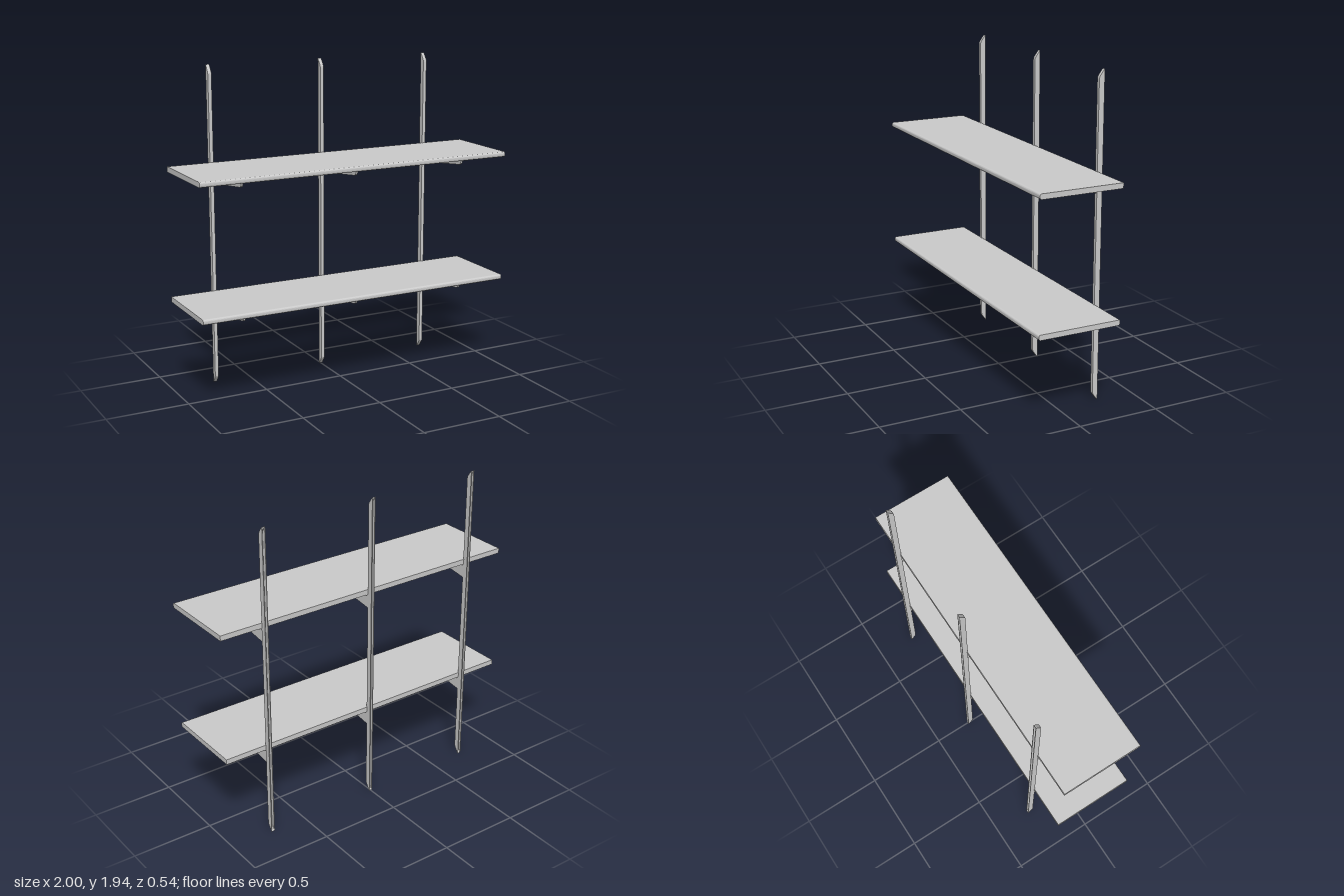
import * as THREE from 'three';

const material = new THREE.MeshStandardMaterial({ color: 0xcccccc, flatShading: true });

// Extrude a side profile of [z, y] points across x, centred on x
function sideExtrude(name, points, width, x = 0) {
  const shape = new THREE.Shape(points.map(([z, y]) => new THREE.Vector2(z, y)));
  const geometry = new THREE.ExtrudeGeometry(shape, { depth: width, bevelEnabled: false });
  geometry.translate(0, 0, -width / 2);
  geometry.rotateY(-Math.PI / 2);
  const mesh = new THREE.Mesh(geometry, material);
  mesh.name = name;
  mesh.position.x = x;
  return mesh;
}

// Points along a quarter-style arc, angles in degrees
function arc(cz, cy, r, from, to, steps = 5) {
  return Array.from({ length: steps + 1 }, (_, i) => {
    const a = THREE.MathUtils.degToRad(from + ((to - from) * i) / steps);
    return [cz + r * Math.cos(a), cy + r * Math.sin(a)];
  });
}

const HEIGHT = 1.943, BACK = -0.27, FRONT = -0.236;
const POST_WIDTH = 0.022, WALL = 0.004;

// Wall upright: a channel open at the back, with slanted ends
function createUpright() {
  const upright = new THREE.Group();
  upright.name = 'upright';
  const outer = [
    [BACK, 0], [-0.262, 0.008], [-0.242, 0.036], [-0.237, 0.046], [FRONT, 0.056],
    [FRONT, HEIGHT - 0.056], [-0.237, HEIGHT - 0.046], [-0.242, HEIGHT - 0.036],
    [-0.262, HEIGHT - 0.008], [BACK, HEIGHT],
  ];
  const inner = outer.map(([z, y]) => [
    Math.max(BACK, z - WALL),
    y < 1 ? y + WALL : y - WALL,
  ]).reverse();
  upright.add(sideExtrude('uprightFace', [...outer, ...inner], POST_WIDTH));
  for (const side of [-1, 1]) {
    upright.add(sideExtrude('uprightSide', outer, WALL, side * (POST_WIDTH - WALL) / 2));
  }
  return upright;
}

// Tapered bracket blade with a thin flange on top; y = 0 is the shelf underside
function createBracket() {
  const bracket = new THREE.Group();
  bracket.name = 'bracket';
  bracket.add(sideExtrude('bracketBlade', [
    [-0.245, 0], [-0.245, -0.092], [-0.236, -0.091], [0.19, -0.036],
    [0.2, -0.032], [0.207, -0.024], [0.21, -0.012], [0.21, 0],
  ], 0.013));
  bracket.add(sideExtrude('bracketFlange', [
    [-0.236, -0.005], [0.21, -0.005], [0.21, 0], [-0.236, 0],
  ], 0.05));
  return bracket;
}

// Shelf board with a rounded front edge; y = 0 is its underside
function createShelf() {
  const r = 0.012, thick = 0.032, front = 0.27;
  return sideExtrude('shelfBoard', [
    [-0.24, 0],
    ...arc(front - r, r, r, -90, 0),
    ...arc(front - r, thick - r, r, 0, 90),
    [-0.24, thick],
  ], 2);
}

export function createModel() {
  const model = new THREE.Group();
  model.name = 'wallShelving';
  const columns = [-0.725, 0, 0.725];

  for (const x of columns) {
    const upright = createUpright();
    upright.position.x = x;
    model.add(upright);
  }

  for (const y of [0.558, 1.34]) {
    const shelf = new THREE.Group();
    shelf.name = 'shelf';
    shelf.position.y = y;
    shelf.add(createShelf());
    for (const x of columns) {
      const bracket = createBracket();
      bracket.position.x = x;
      shelf.add(bracket);
    }
    model.add(shelf);
  }
  return model;
}
